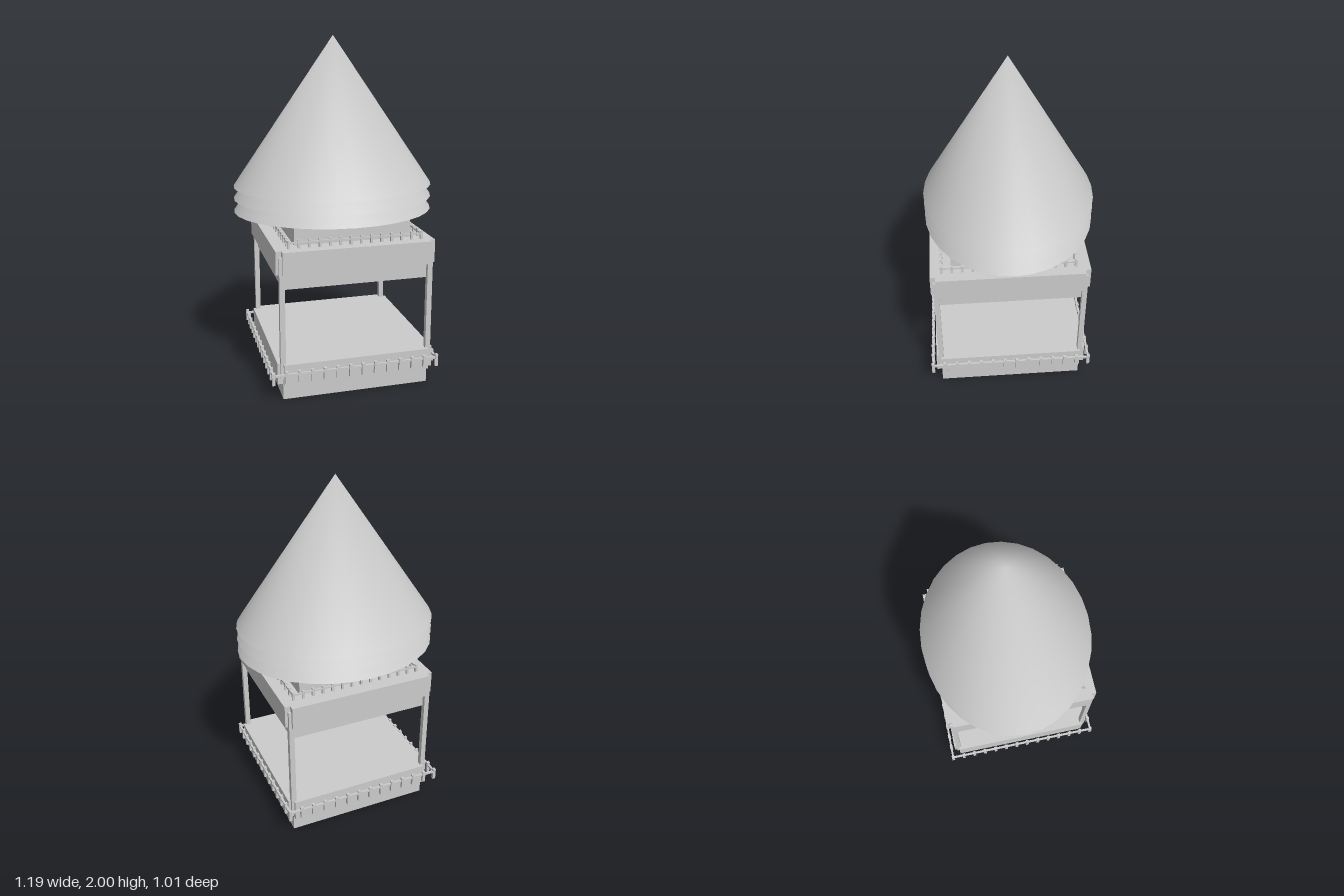
import * as THREE from 'three';

const CX = 0.022, CZ = 0.013; // centre of the square tower

export function createModel() {
  const model = new THREE.Group();
  model.name = 'watchtower';
  const solid = new THREE.MeshStandardMaterial({ color: 0xcccccc });
  const open = new THREE.MeshStandardMaterial({ color: 0xcccccc, side: THREE.DoubleSide, flatShading: true });

  const add = (parent, name, geometry, x, y, z, material = solid) => {
    const mesh = new THREE.Mesh(geometry, material);
    mesh.name = name;
    mesh.position.set(x, y, z);
    parent.add(mesh);
    return mesh;
  };
  const box = (parent, name, w, y0, y1, d, x, z) =>
    add(parent, name, new THREE.BoxGeometry(w, y1 - y0, d), x, (y0 + y1) / 2, z);

  // Hollow square skirt, open at top and bottom
  const skirt = (name, side, y0, y1) => {
    const g = new THREE.CylinderGeometry(side / Math.SQRT2, side / Math.SQRT2, y1 - y0, 4, 1, true);
    g.rotateY(Math.PI / 4);
    add(model, name, g, CX, (y0 + y1) / 2, CZ, open);
  };

  // Square slab with a small square notch at each corner
  const slab = (name, y0, y1) => {
    const h = 0.46, n = 0.428;
    const points = [];
    for (let i = 0; i < 4; i++) {
      for (const [x, y] of [[h, -n], [h, n], [n, n]]) {
        points.push(new THREE.Vector2(x, y).rotateAround(new THREE.Vector2(), i * Math.PI / 2));
      }
    }
    const g = new THREE.ExtrudeGeometry(new THREE.Shape(points), { depth: y1 - y0, bevelEnabled: false });
    g.rotateX(-Math.PI / 2);
    add(model, name, g, CX, y0, CZ);
  };

  // Railing: a square of rails with evenly spaced balusters
  const railing = (name, side, cx, cz, y0, y1, railY, thick) => {
    const group = new THREE.Group();
    group.name = name;
    group.position.set(cx, 0, cz);
    model.add(group);
    const count = 13, h = side / 2, t = thick * 0.7;
    for (let s = 0; s < 4; s++) {
      const run = new THREE.Group();
      run.name = 'railingSide';
      run.rotation.y = s * Math.PI / 2;
      group.add(run);
      box(run, 'rail', side, railY - t / 2, railY + t / 2, t, 0, h);
      for (let i = 0; i < count; i++) {
        box(run, 'baluster', thick, y0, y1, thick, -h + i * side / count, h);
      }
    }
  };

  // Base and floor
  skirt('baseSkirt', 0.86, 0, 0.095);
  slab('floorSlab', 0.095, 0.22);
  railing('lowerRailing', 0.962, 0.01, 0.013, 0.12, 0.192, 0.172, 0.018);

  // Corner posts set into the slab notches
  for (const sx of [-1, 1]) {
    for (const sz of [-1, 1]) {
      box(model, 'cornerPost', 0.03, 0.13, 0.84, 0.03, CX + sx * 0.429, CZ + sz * 0.429);
    }
  }

  // Upper deck
  skirt('upperSkirt', 0.842, 0.65, 0.74);
  slab('upperSlab', 0.74, 0.873);
  railing('upperRailing', 0.77, 0.026, 0.021, 0.873, 0.92, 0.905, 0.014);
  box(model, 'neck', 0.677, 0.873, 1.0, 0.677, CX, CZ);

  // Three stacked oval roof cones, shaded softly towards the apex
  const H = 0.865;
  for (const y of [0.988, 1.063, 1.135]) {
    const g = new THREE.ConeGeometry(1, H, 32);
    const p = g.attributes.position, n = g.attributes.normal;
    for (let i = 0; i < p.count; i++) {
      if (p.getY(i) > 0) n.setXYZ(i, 0, 1, 0);
    }
    g.scale(0.593, 1, 0.499);
    add(model, 'roofCone', g, 0, y + H / 2, -0.004);
  }
  return model;
}
